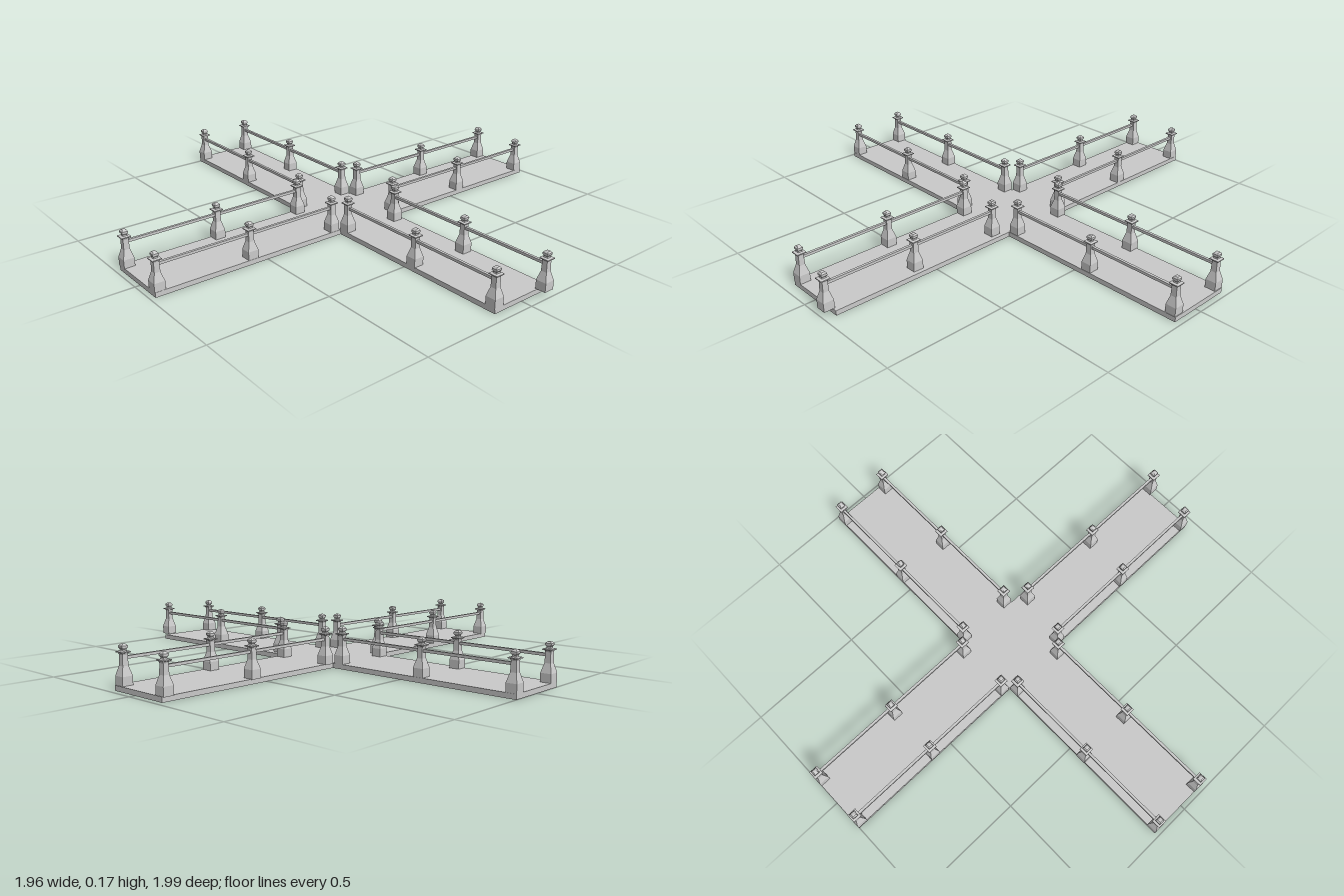
import * as THREE from 'three';

const material = new THREE.MeshStandardMaterial({ color: 0xcccccc, flatShading: true });
const DECK = 0.02;

// Square post outline: [half width, height above the deck]
const profile = [
  [0, 0], [0.022, 0], [0.022, 0.036], [0.012, 0.072], [0.011, 0.112], [0.013, 0.118],
  [0.019, 0.12], [0.019, 0.124], [0.009, 0.126], [0.008, 0.131],
  [0.012, 0.137], [0.012, 0.144], [0.007, 0.15], [0, 0.152],
];

function createPostGeometry() {
  const points = profile.map(([w, y]) => new THREE.Vector2(w * Math.SQRT2, y));
  return new THREE.LatheGeometry(points, 4).rotateY(Math.PI / 4);
}

// Cross-shaped deck, drawn in plan (shape y = -z)
function createDeck() {
  const [x0, x1, z0, z1] = [-0.14, 0.137, -0.158, 0.12];
  const [left, right, back, front] = [-0.98, 0.977, -1, 0.955];
  const outline = [
    [left, z1], [x0, z1], [x0, front], [x1, front], [x1, z1], [right, z1],
    [right, z0], [x1, z0], [x1, back], [x0, back], [x0, z0], [left, z0],
  ];
  const shape = new THREE.Shape(outline.map(([x, z]) => new THREE.Vector2(x, -z)));
  const geometry = new THREE.ExtrudeGeometry(shape, { depth: DECK, bevelEnabled: false });
  const deck = new THREE.Mesh(geometry.rotateX(-Math.PI / 2), material);
  deck.name = 'deck';
  return deck;
}

// Three posts joined by a thin rail, running along local x
function createRailing(postGeometry) {
  const railing = new THREE.Group();
  railing.name = 'railing';
  for (const x of [-0.395, 0, 0.395]) {
    const post = new THREE.Mesh(postGeometry, material);
    post.name = 'post';
    post.position.x = x;
    railing.add(post);
  }
  const rail = new THREE.Mesh(new THREE.BoxGeometry(0.79, 0.011, 0.011), material);
  rail.name = 'rail';
  rail.position.y = 0.101;
  railing.add(rail);
  return railing;
}

export function createModel() {
  const model = new THREE.Group();
  model.name = 'crossWalkway';
  model.add(createDeck());

  // Middle of each railing: [x, z, lift, runs along z]
  const placements = [
    [-0.564, -0.14, 0, false], [0.557, -0.14, 0, false],
    [-0.564, 0.097, 0, false], [0.557, 0.097, 0, false],
    [-0.12, -0.583, 0, true], [0.114, -0.583, 0, true],
    [-0.12, 0.538, 0, true], [0.1, 0.576, 0.004, true],
  ];
  const postGeometry = createPostGeometry();
  for (const [x, z, lift, alongZ] of placements) {
    const railing = createRailing(postGeometry);
    railing.position.set(x, DECK - 0.002 + lift, z);
    if (alongZ) railing.rotation.y = Math.PI / 2;
    model.add(railing);
  }
  return model;
}
